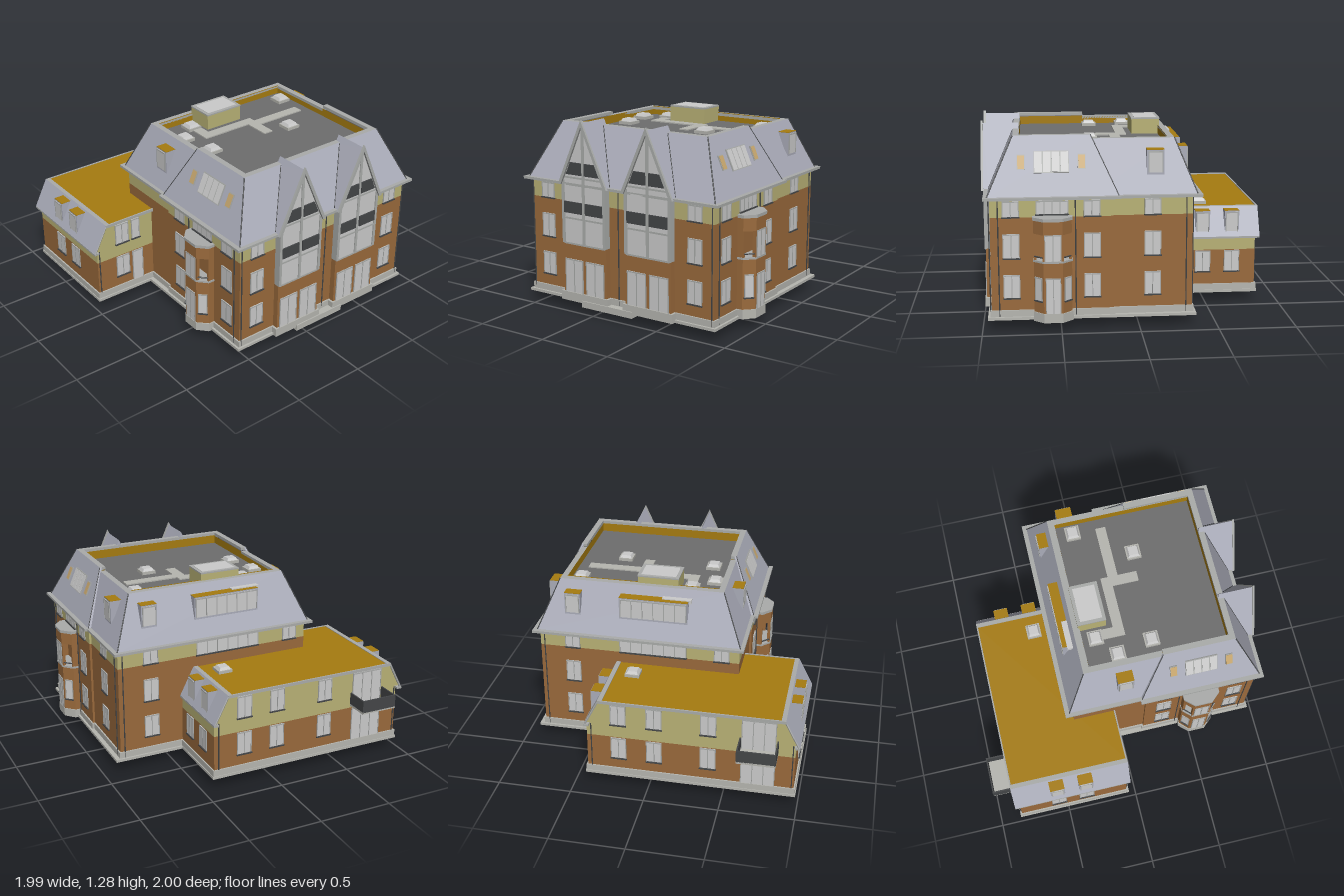
import * as THREE from 'three';

const mat = (color, side = THREE.FrontSide) =>
  new THREE.MeshStandardMaterial({ color, side, flatShading: true });
const BRICK = mat(0x9a6a3c), CREAM = mat(0xb9b276), SLATE = mat(0xabadba, THREE.DoubleSide);
const GOLD = mat(0xa67c10, THREE.DoubleSide), GLASS = mat(0xc4c4c2), TRIM = mat(0xaaacaa);
const DARK = mat(0x444648), DECK = mat(0x6e6e6e), STONE = mat(0xb6b6b0), AMBER = mat(0xc8a870);
const TURN = { front: 0, right: Math.PI / 2, back: Math.PI, left: -Math.PI / 2 };

function add(parent, name, geo, material) {
  const m = new THREE.Mesh(geo, material);
  m.name = name;
  parent.add(m);
  return m;
}
// Box given by its limits on each axis
function box(parent, name, material, x0, x1, y0, y1, z0, z1) {
  const m = add(parent, name, new THREE.BoxGeometry(x1 - x0, y1 - y0, z1 - z0), material);
  m.position.set((x0 + x1) / 2, (y0 + y1) / 2, (z0 + z1) / 2);
}
// Rectangular ring of four beams, open underneath
function ring(parent, name, material, x0, x1, y0, y1, z0, z1, t) {
  for (const z of [z0, z1 - t]) box(parent, name, material, x0, x1, y0, y1, z, z + t);
  for (const x of [x0, x1 - t]) box(parent, name, material, x, x + t, y0, y1, z0 + t, z1 - t);
}
// Flat convex face from corner points
function face(parent, name, material, ...pts) {
  const pos = [];
  for (let i = 1; i < pts.length - 1; i++) pos.push(...pts[0], ...pts[i], ...pts[i + 1]);
  const g = new THREE.BufferGeometry();
  g.setAttribute('position', new THREE.Float32BufferAttribute(pos, 3));
  g.computeVertexNormals();
  add(parent, name, g, material);
}
// Thin round bar between two points
function bar(parent, name, material, a, b, r = 0.004) {
  const A = new THREE.Vector3(...a), B = new THREE.Vector3(...b);
  const m = add(parent, name, new THREE.CylinderGeometry(r, r, A.distanceTo(B), 6), material);
  m.position.copy(A).lerp(B, 0.5);
  m.quaternion.setFromUnitVectors(new THREE.Vector3(0, 1, 0), B.sub(A).normalize());
}
function extrude(points, depth) {
  const s = new THREE.Shape(points.map(p => new THREE.Vector2(...p)));
  return new THREE.ExtrudeGeometry(s, { depth, bevelEnabled: false });
}
// Group on a wall: u runs along the wall, d is the wall plane, local +z points outward
function onWall(parent, name, dir, u, d) {
  const g = new THREE.Group();
  g.name = name;
  const sideways = dir === 'left' || dir === 'right';
  g.position.set(sideways ? d : u, 0, sideways ? u : d);
  g.rotation.y = TURN[dir];
  parent.add(g);
  return g;
}
function windowAt(parent, dir, u, d, y0, y1, w = 0.1, panes = 2, sill = true) {
  const g = onWall(parent, 'window', dir, u, d), h = w / 2;
  box(g, 'pane', GLASS, -h, h, y0, y1, -0.01, 0.003);
  for (let i = 0; i <= panes; i++) {
    const x = -h + (w * i) / panes;
    box(g, 'mullion', TRIM, x - 0.003, x + 0.003, y0, y1, 0, 0.006);
  }
  box(g, 'windowHead', TRIM, -h, h, y1 - 0.008, y1, 0, 0.006);
  if (sill) box(g, 'sill', DARK, -h - 0.006, h + 0.006, y0 - 0.008, y0, 0, 0.012);
}
// Upright dormer whose front stands at d and whose top runs back into the slope
function dormer(parent, dir, u, d, y0, y1, w, panes, back) {
  const g = onWall(parent, 'dormer', dir, u, d), h = w / 2;
  const geo = extrude([[0, y0], [0, y1], [-back, y1]], w);
  geo.translate(0, 0, -h).rotateY(-Math.PI / 2);
  add(g, 'dormerBody', geo, SLATE);
  box(g, 'dormerLid', GOLD, -h, h, y1, y1 + 0.003, -back, 0);
  windowAt(g, 'front', 0, 0.001, y0 + 0.014, y1 - 0.008, w - 0.02, panes, false);
}
// Window lying in a roof slope
function roofWindow(parent, dir, u, d, y0, y1, w, panes, lean, pane) {
  const g = onWall(parent, 'roofWindow', dir, u, d), L = Math.hypot(lean, y1 - y0), h = w / 2;
  g.rotation.order = 'YXZ';
  g.position.y = y0;
  g.rotation.x = -Math.atan2(lean, y1 - y0);
  box(g, 'roofWindowFrame', TRIM, -h, h, 0, L, -0.01, 0.008);
  for (let i = 0; i < panes; i++) {
    const x = -h + (w * i) / panes;
    box(g, 'roofWindowPane', pane, x + 0.004, x + w / panes - 0.004, 0.006, L - 0.006, 0, 0.011);
  }
}
function skylight(parent, x, y, z) {
  box(parent, 'skylightCurb', STONE, x - 0.05, x + 0.05, y, y + 0.02, z - 0.05, z + 0.05);
  const m = add(parent, 'skylightDome', new THREE.CylinderGeometry(0.045, 0.058, 0.018, 4, 1), GLASS);
  m.rotation.y = Math.PI / 4;
  m.position.set(x, y + 0.029, z);
}

// Three-sided bay: glazed below, open between corner posts above
function sideBay(parent, dir, d) {
  const g = onWall(parent, 'sideBay', dir, 0.55, d);
  const prism = (name, material, y0, y1, o) => {
    const geo = extrude([[-0.12 - o, 0.05], [-0.12 - o, -0.04 - o], [-0.06, -0.1 - o],
      [0.06, -0.1 - o], [0.12 + o, -0.04 - o], [0.12 + o, 0.05]], y1 - y0);
    geo.rotateX(-Math.PI / 2).translate(0, y0, 0);
    add(g, name, geo, material);
  };
  prism('bayBase', STONE, 0.07, 0.13, 0.006);
  prism('bayWall', BRICK, 0.13, 0.46, 0);
  prism('bayBand', TRIM, 0.455, 0.468, 0.004);
  prism('bayHead', BRICK, 0.635, 0.72, 0);
  prism('bayCornice', TRIM, 0.72, 0.74, 0.006);
  windowAt(g, 'front', 0, 0.1, 0.13, 0.36, 0.09, 2, false);
  windowAt(g, 'front', 0, 0.097, 0.465, 0.637, 0.1, 2, false);
  for (const s of [-1, 1]) {
    const cheek = onWall(g, 'bayCheek', 'front', s * 0.09, 0.07);
    cheek.rotation.y = s * Math.PI / 4;
    windowAt(cheek, 'front', 0, 0, 0.21, 0.36, 0.055, 1);
    for (const [x, z] of [[0.111, 0.035], [0.058, 0.088]])
      box(g, 'bayPost', BRICK, s * x - 0.009, s * x + 0.009, 0.465, 0.637, z - 0.01, z + 0.01);
    box(g, 'bayReturn', BRICK, s * 0.115 - 0.005, s * 0.115 + 0.005, 0.465, 0.637, -0.01, 0.035);
    bar(g, 'bayRail', DARK, [s * 0.114, 0.49, 0.042], [s * 0.062, 0.49, 0.094], 0.005);
  }
}

// Glazed front gable
function gable(parent, cx) {
  const g = new THREE.Group();
  g.name = 'frontGable';
  g.position.x = cx;
  parent.add(g);
  box(g, 'gableBrick', BRICK, -0.175, 0.175, 0.13, 0.46, 0.9, 0.98);
  const wall = extrude([[-0.17, 0.46], [0.17, 0.46], [0.17, 0.88], [0, 1.25], [-0.17, 0.88]], 0.12);
  add(g, 'gableGlazing', wall.translate(0, 0, 0.86), GLASS);
  for (const s of [-1, 1]) {
    windowAt(g, 'front', s * 0.085, 0.981, 0.13, 0.355, 0.14, 2, false);
    box(g, 'balustrade', DARK, s * 0.085 - 0.07, s * 0.085 + 0.07, 0.665, 0.74, 0.975, 0.99);
    const upper = extrude([[s * 0.012, 0.92], [s * 0.135, 0.92], [s * 0.1, 1.0], [s * 0.012, 1.0]], 0.01);
    add(g, 'upperBalustrade', upper.translate(0, 0, 0.98), DARK);
    box(g, 'gablePost', TRIM, s * 0.165 - 0.01, s * 0.165 + 0.01, 0.46, 0.88, 0.94, 0.988);
    // Each roof half follows the valley, then runs level over the parapet
    face(g, 'gableRoof', SLATE, [0, 1.262, 0.99], [s * 0.195, 0.85, 0.99], [s * 0.195, 0.85, 0.95],
      [s * 0.022, 1.215, 0.79], [s * 0.022, 1.215, 0.755], [0, 1.262, 0.755]);
    const board = extrude([[0, 1.28], [s * 0.195, 0.85], [s * 0.172, 0.85], [0, 1.235]], 0.015);
    add(g, 'bargeboard', board.translate(0, 0, 0.985), TRIM);
    bar(g, 'valley', DARK, [s * 0.19, 0.865, 0.952], [s * 0.025, 1.22, 0.793], 0.003);
  }
  face(g, 'gableRoofEnd', SLATE, [-0.022, 1.215, 0.755], [0, 1.262, 0.755], [0.022, 1.215, 0.755]);
  box(g, 'centrePost', TRIM, -0.01, 0.01, 0.46, 1.22, 0.96, 0.986);
  for (const y of [0.46, 0.63, 0.9])
    box(g, 'transom', TRIM, -0.165, 0.165, y - 0.006, y + 0.006, 0.96, 0.985);
  box(g, 'gablePlinth', STONE, -0.19, 0.19, 0.07, 0.13, 0.9, 0.992);
}

function mainHouse(root) {
  const g = new THREE.Group();
  g.name = 'mainHouse';
  root.add(g);
  // Walls: the front block is slightly wider than the rear one
  for (const [x0, x1, z0, z1] of [[-0.535, 0.885, 0.165, 0.94], [-0.52, 0.87, -0.34, 0.165]]) {
    box(g, 'plinth', STONE, x0 - 0.01, x1 + 0.01, 0.085, 0.13, z0 - 0.01, z1 + 0.01);
    box(g, 'brickWall', BRICK, x0, x1, 0.13, 0.73, z0, z1);
    box(g, 'upperWall', CREAM, x0, x1, 0.73, 0.85, z0, z1);
  }
  ring(g, 'baseRing', STONE, -0.56, 0.91, 0.07, 0.088, -0.365, 0.965, 0.06);
  box(g, 'footing', STONE, -0.09, 0.31, 0.045, 0.088, -0.36, 1.0);
  box(g, 'pit', STONE, -0.09, 0.31, 0, 0.07, -0.22, 0.02);
  box(g, 'frontEaves', TRIM, -0.58, 0.93, 0.845, 0.862, 0.12, 0.98);
  box(g, 'rearEaves', TRIM, -0.555, 0.91, 0.845, 0.862, -0.4, 0.12);
  // Mansard slopes
  const F = 1.225, R = 1.2, E = 0.86;
  face(g, 'frontSlope', SLATE, [-0.55, E, 0.955], [0.9, E, 0.955], [0.74, F, 0.79], [-0.39, F, 0.79]);
  face(g, 'rearSlope', SLATE, [0.88, E, -0.37], [-0.53, E, -0.37], [-0.39, R, -0.235], [0.74, R, -0.235]);
  for (const s of [-1, 1]) {
    const X = v => 0.175 + s * v;
    face(g, 'sideSlope', SLATE, [X(0.725), E, 0.955], [X(0.725), E, 0.13], [X(0.565), F, 0.3], [X(0.565), F, 0.79]);
    face(g, 'rearSideSlope', SLATE, [X(0.705), E, 0.3], [X(0.705), E, -0.37], [X(0.565), R, -0.235], [X(0.565), R, 0.3]);
    face(g, 'slopeReturn', SLATE, [X(0.725), E, 0.13], [X(0.69), E, 0.13], [X(0.55), F, 0.3], [X(0.565), F, 0.3]);
    bar(g, 'hip', DARK, [X(0.725), E, 0.955], [X(0.565), F, 0.79]);
    bar(g, 'hip', DARK, [X(0.725), E, 0.13], [X(0.565), F, 0.3], 0.003);
    bar(g, 'hip', DARK, [X(0.705), E, -0.37], [X(0.565), R, -0.235]);
    // Parapet coping and its inner face
    const xs = [X(0.525), X(0.565)].sort((a, b) => a - b);
    box(g, 'coping', TRIM, xs[0], xs[1], F - 0.02, F, 0.3, 0.79);
    box(g, 'coping', TRIM, xs[0], xs[1], R - 0.02, R, -0.235, 0.3);
    face(g, 'parapetInside', GOLD, [X(0.525), 1.14, -0.19], [X(0.525), 1.14, 0.75], [X(0.525), R, 0.75], [X(0.525), R, -0.19]);
    sideBay(g, s > 0 ? 'right' : 'left', X(0.71));
  }
  box(g, 'coping', TRIM, -0.35, 0.7, F - 0.02, F, 0.75, 0.79);
  box(g, 'coping', TRIM, -0.35, 0.7, R - 0.02, R, -0.235, -0.19);
  for (const z of [-0.19, 0.75])
    face(g, 'parapetInside', GOLD, [-0.35, 1.14, z], [0.7, 1.14, z], [0.7, 1.205, z], [-0.35, 1.205, z]);
  // Flat roof with its fittings
  box(g, 'roofDeck', DECK, -0.37, 0.72, 1.12, 1.145, -0.21, 0.77);
  box(g, 'liftHousing', CREAM, -0.075, 0.205, 1.14, 1.245, -0.2, -0.01);
  box(g, 'liftRoof', TRIM, -0.077, 0.207, 1.245, 1.255, -0.202, -0.008);
  box(g, 'liftRoofPanel', GLASS, -0.055, 0.185, 1.25, 1.257, -0.18, -0.03);
  for (const [x, z] of [[-0.15, -0.1], [-0.29, 0.02], [-0.24, 0.26], [0.63, -0.08], [0.4, 0.29]]) skylight(g, x, 1.145, z);
  for (const [x0, x1, z0, z1] of [[-0.17, 0.26, 0.03, 0.1], [0.19, 0.26, 0.1, 0.28], [0.26, 0.63, 0.08, 0.15], [-0.17, -0.1, -0.05, 0.03]])
    box(g, 'paving', STONE, x0, x1, 1.145, 1.153, z0, z1);
  // Windows on three storeys
  for (const [y0, y1] of [[0.21, 0.36], [0.47, 0.625], [0.735, 0.835]]) {
    for (const x of [-0.4, 0.75]) windowAt(g, 'front', x, 0.942, y0, y1);
    for (const z of [0.81, 0.3]) {
      windowAt(g, 'right', z, 0.887, y0, y1);
      windowAt(g, 'left', z, -0.537, y0, y1);
    }
    windowAt(g, 'right', -0.085, 0.872, y0, y1);
    windowAt(g, 'back', 0.64, -0.342, y0, y1);
  }
  windowAt(g, 'right', 0.55, 0.887, 0.75, 0.835, 0.2, 4);
  windowAt(g, 'left', 0.55, -0.537, 0.75, 0.835, 0.2, 4);
  windowAt(g, 'back', 0.075, -0.342, 0.735, 0.835, 0.46, 6);
  windowAt(g, 'back', -0.4, -0.342, 0.735, 0.835);
  // Dormers and roof windows
  dormer(g, 'back', 0.075, -0.325, 0.98, 1.135, 0.47, 6, 0.08);
  dormer(g, 'back', 0.635, -0.325, 0.98, 1.135, 0.11, 1, 0.08);
  dormer(g, 'right', -0.105, 0.84, 0.98, 1.137, 0.11, 1, 0.09);
  dormer(g, 'left', 0.03, -0.49, 0.98, 1.137, 0.11, 1, 0.09);
  box(g, 'dormerVent', GLASS, -0.18, 0.02, 1.12, 1.145, -0.295, -0.245);
  for (const s of [-1, 1]) {
    const dir = s > 0 ? 'right' : 'left';
    roofWindow(g, dir, 0.55, 0.175 + s * 0.664, 1.0, 1.13, 0.22, 4, 0.057, GLASS);
    for (const z of [0.74, 0.36]) roofWindow(g, dir, z, 0.175 + s * 0.655, 1.02, 1.11, 0.05, 1, 0.039, AMBER);
  }
  for (const cx of [-0.075, 0.425]) gable(g, cx);
  // Rainwater pipes
  for (const [x, z] of [[-0.525, 0.947], [0.175, 0.947], [0.875, 0.947], [0.892, 0.89], [0.892, 0.405],
    [-0.542, 0.89], [-0.542, 0.405], [0.877, -0.3], [0.84, -0.347]]) bar(g, 'rainPipe', DARK, [x, 0.09, z], [x, 0.85, z]);
}

function annex(root) {
  const g = new THREE.Group();
  g.name = 'rearAnnex';
  root.add(g);
  ring(g, 'baseRing', STONE, -0.985, 0.43, 0.07, 0.088, -0.855, -0.05, 0.06);
  box(g, 'plinth', STONE, -0.98, 0.425, 0.085, 0.13, -0.85, -0.06);
  box(g, 'brickWall', BRICK, -0.97, 0.415, 0.13, 0.37, -0.84, -0.07);
  const upper = extrude([[-0.97, 0.37], [0.415, 0.37], [0.415, 0.46], [0.423, 0.465], [0.33, 0.645], [-0.9, 0.645],
    [-0.993, 0.465], [-0.97, 0.46]], 0.77);
  add(g, 'upperWall', upper.translate(0, 0, -0.84), CREAM);
  box(g, 'roofDeck', GOLD, -0.87, 0.3, 0.635, 0.65, -0.86, -0.06);
  for (const z of [-0.87, -0.06]) box(g, 'roofEdge', TRIM, -0.9, 0.33, 0.635, 0.655, z, z + 0.01);
  // Sloped roof ends with dormers
  for (const [s, dir, zs] of [[-1, 'left', [-0.56, -0.36]], [1, 'right', [-0.68, -0.48]]]) {
    const X = v => -0.285 + s * v;
    const xs = [X(0.585), X(0.615)].sort((a, b) => a - b);
    face(g, 'endSlope', SLATE, [X(0.715), 0.46, -0.05], [X(0.715), 0.46, -0.87], [X(0.615), 0.655, -0.87], [X(0.615), 0.655, -0.05]);
    box(g, 'endCoping', TRIM, xs[0], xs[1], 0.635, 0.655, -0.87, -0.05);
    box(g, 'gutter', TRIM, X(0.697) - 0.018, X(0.697) + 0.018, 0.45, 0.463, -0.87, -0.05);
    for (const z of [-0.863, -0.057]) bar(g, 'verge', TRIM, [X(0.706), 0.462, z], [X(0.612), 0.645, z], 0.007);
    for (const z of zs) {
      dormer(g, dir, z, X(0.692), 0.48, 0.638, 0.1, 1, 0.075);
      windowAt(g, dir, z, X(s > 0 ? 0.702 : 0.687), 0.22, 0.365);
    }
    for (const z of [-0.845, -0.065]) bar(g, 'rainPipe', DARK, [X(0.67), 0.09, z], [X(0.67), 0.46, z]);
  }
  // Windows and doors on the long walls
  for (const [y0, y1] of [[0.21, 0.365], [0.47, 0.62]]) {
    windowAt(g, 'front', -0.77, -0.068, y0, y1);
    for (const x of [0.2, -0.04, -0.4]) windowAt(g, 'back', x, -0.842, y0, y1);
  }
  windowAt(g, 'front', -0.65, -0.068, 0.13, 0.365, 0.08, 1, false);
  windowAt(g, 'front', -0.66, -0.068, 0.47, 0.62, 0.06, 1);
  windowAt(g, 'back', -0.73, -0.842, 0.13, 0.365, 0.22, 3, false);
  windowAt(g, 'back', -0.73, -0.842, 0.4, 0.62, 0.22, 3, false);
  skylight(g, 0.18, 0.65, -0.48);
  // Balcony
  box(g, 'balconyFloor', STONE, -0.86, -0.605, 0.385, 0.4, -1.0, -0.84);
  box(g, 'balconyFront', DARK, -0.86, -0.605, 0.395, 0.48, -1.0, -0.99);
  for (const x of [-0.86, -0.615]) box(g, 'balconySide', DARK, x, x + 0.01, 0.395, 0.48, -1.0, -0.84);
}

export function createModel() {
  const root = new THREE.Group();
  root.name = 'apartmentHouse';
  mainHouse(root);
  annex(root);
  return root;
}
